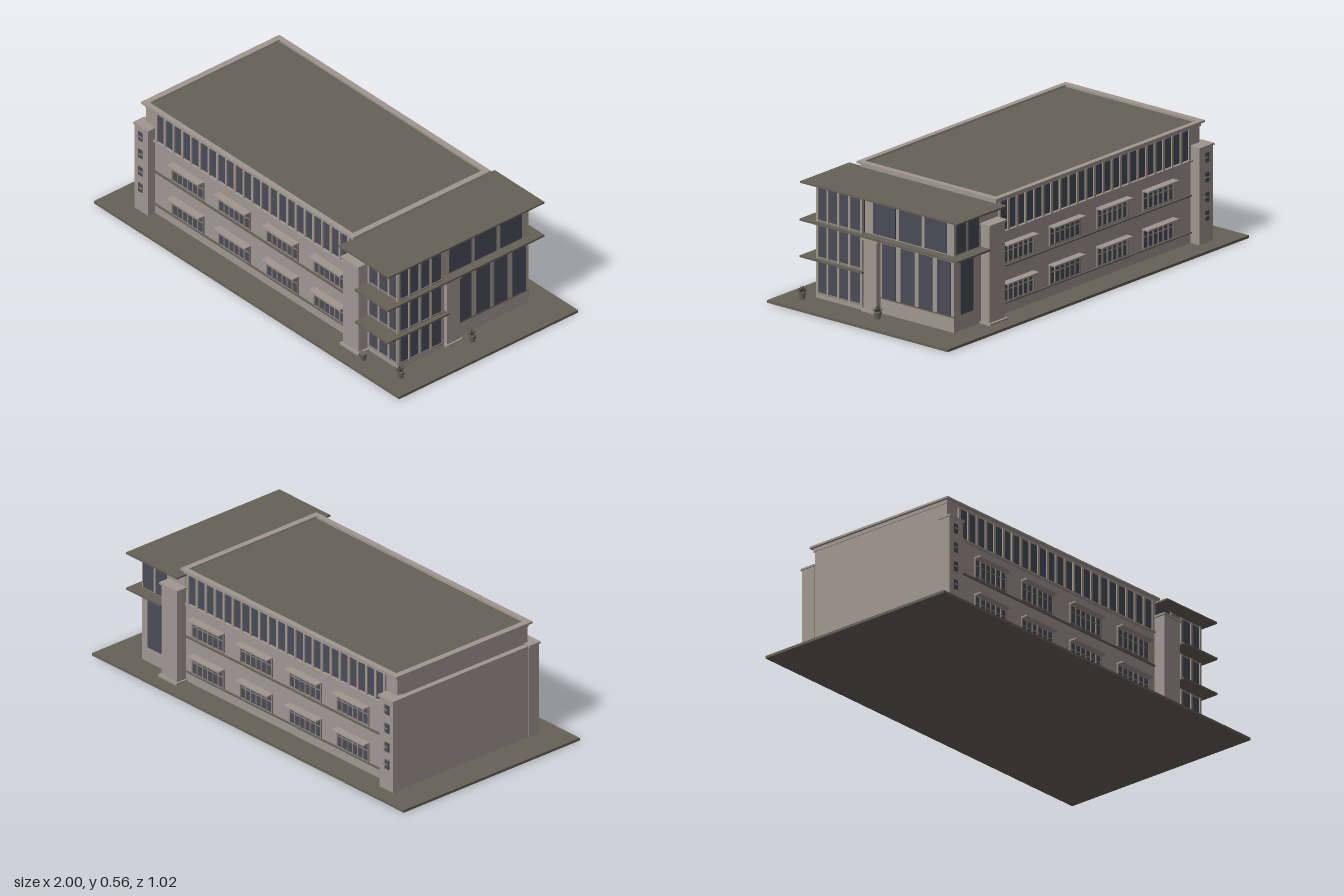
import * as THREE from 'three';

export function createModel() {
  const root = new THREE.Group();
  root.name = 'officeBuilding';
  const material = (name, color, double) => {
    const m = new THREE.MeshStandardMaterial({ color });
    m.name = name;
    if (double) m.side = THREE.DoubleSide;
    return m;
  };
  const wall = material('warm grey wall', 0xa0978f);
  const slab = material('dark stone', 0x656157);
  const glass = material('smoked glass', 0x4b4b58);
  const frame = material('window frame', 0x88817a);
  const leaf = material('leaf', 0x474a38, true);
  const pot = material('plant pot', 0x6a645c);

  // Box given by its limits on each axis
  function box(name, mat, x0, x1, y0, y1, z0, z1, parent = root) {
    const g = new THREE.BoxGeometry(Math.abs(x1 - x0), y1 - y0, Math.abs(z1 - z0));
    const m = new THREE.Mesh(g, mat);
    m.position.set((x0 + x1) / 2, (y0 + y1) / 2, (z0 + z1) / 2);
    m.name = name;
    parent.add(m);
    return m;
  }
  function group(name) {
    const g = new THREE.Group();
    g.name = name;
    root.add(g);
    return g;
  }

  // Ground and main block
  box('ground', slab, -1, 1, 0, 0.012, -0.51, 0.51);
  box('mainBlock', wall, -0.82, 0.54, 0.012, 0.536, -0.385, 0.37);
  box('endWall', wall, -0.845, -0.8, 0.012, 0.45, -0.42, 0.4);

  // Roof deck with raised parapet
  box('roofDeck', slab, -0.82, 0.54, 0.536, 0.545, -0.39, 0.37);
  const parapet = group('parapet');
  for (const [w, y0, y1, mat] of [[0.012, 0.53, 0.546, wall], [0, 0.546, 0.555, wall]]) {
    box('parapetFront', mat, -0.835 + w, 0.553 - w, y0, y1, 0.36, 0.385 - w, parapet);
    box('parapetBack', mat, -0.835 + w, 0.553 - w, y0, y1, -0.403 + w, -0.378, parapet);
    box('parapetLeft', mat, -0.835 + w, -0.806, y0, y1, -0.378, 0.36, parapet);
    box('parapetRight', mat, 0.525, 0.553 - w, y0, y1, -0.378, 0.36, parapet);
  }

  // Long facades, front and back
  for (const [side, z, d] of [['front', 0.37, 1], ['back', -0.385, -1]]) {
    const f = group(side + 'Facade');
    const plate = (name, mat, x0, x1, y0, y1, depth) =>
      box(name, mat, x0, x1, y0, y1, z, z + d * depth, f);
    plate('plinthCourse', slab, -0.76, 0.53, 0.058, 0.064, 0.008);
    plate('floorCourse', slab, -0.76, 0.53, 0.226, 0.233, 0.008);
    plate('clerestorySill', wall, -0.76, 0.53, 0.383, 0.392, 0.012);

    // Clerestory strip
    plate('clerestoryGlass', glass, -0.745, 0.515, 0.396, 0.53, 0.003);
    const n = 22, step = 1.26 / n;
    for (let i = 0; i <= n; i++) {
      const x = -0.745 + i * step;
      plate('clerestoryMullion', wall, x - 0.006, x + 0.006, 0.392, 0.532, 0.009);
    }

    // Two rows of four windows with canopies
    for (const cx of [-0.54, -0.235, 0.08, 0.39]) {
      for (const y of [0.065, 0.24]) {
        plate('windowGlass', glass, cx - 0.1, cx + 0.1, y, y + 0.088, 0.003);
        for (let i = 0; i <= 6; i++) {
          const x = cx - 0.1 + i * 0.2 / 6;
          plate('windowMullion', frame, x - 0.003, x + 0.003, y, y + 0.088, 0.007);
        }
        for (const h of [0.003, 0.055, 0.085])
          plate('windowRail', frame, cx - 0.1, cx + 0.1, y + h - 0.002, y + h + 0.002, 0.006);
        plate('windowCanopy', wall, cx - 0.103, cx + 0.103, y + 0.088, y + 0.095, 0.036);
      }
    }

    // Left pier with four slit windows
    const zl = d > 0 ? 0.41 : -0.435;
    box('leftPier', wall, -0.848, -0.76, 0.012, 0.446, z - d * 0.02, zl, f);
    box('leftPierCap', wall, -0.853, -0.755, 0.446, 0.455, z - d * 0.02, zl + d * 0.005, f);
    for (const y of [0.135, 0.22, 0.31, 0.4]) {
      box('pierWindow', glass, -0.824, -0.796, y - 0.022, y + 0.022, zl, zl + d * 0.003, f);
      box('pierWindowSill', frame, -0.815, -0.792, y - 0.003, y + 0.003, zl, zl + d * 0.006, f);
    }

    // Right pier with stepped base and cap
    const zr = d > 0 ? 0.425 : -0.437;
    box('rightPier', wall, 0.535, 0.636, 0.012, 0.458, z - d * 0.03, zr, f);
    box('rightPierCap', wall, 0.527, 0.644, 0.458, 0.467, z - d * 0.03, zr + d * 0.008, f);
    box('rightPierBase', wall, 0.527, 0.646, 0.012, 0.022, z - d * 0.03, zr + d * 0.012, f);
  }

  // Entrance wing
  const wing = group('entranceWing');
  box('wingBody', wall, 0.54, 0.815, 0.012, 0.522, -0.388, 0.12, wing);
  box('glazedCorner', glass, 0.54, 0.832, 0.03, 0.52, 0.114, 0.368, wing);
  box('glazedCornerBase', wall, 0.54, 0.836, 0.012, 0.032, 0.112, 0.372, wing);
  box('wingRoof', slab, 0.53, 0.857, 0.522, 0.53, -0.443, 0.445, wing);
  box('upperCanopy', slab, 0.637, 0.857, 0.35, 0.359, -0.443, 0.448, wing);
  box('lowerCanopy', slab, 0.637, 0.857, 0.184, 0.192, 0.096, 0.448, wing);
  box('entranceColumn', wall, 0.81, 0.842, 0.02, 0.335, 0.026, 0.1, wing);
  box('entranceColumnCap', wall, 0.805, 0.848, 0.335, 0.35, 0.02, 0.106, wing);
  box('entranceColumnBase', wall, 0.805, 0.85, 0.012, 0.022, 0.018, 0.108, wing);
  box('wingSill', slab, 0.81, 0.82, 0.08, 0.085, -0.388, 0.026, wing);

  // Frames on the glazed corner, storey by storey
  for (const [y0, y1] of [[0.03, 0.184], [0.192, 0.35], [0.359, 0.522]]) {
    for (const x of [0.641, 0.707, 0.773, 0.83])
      box('cornerMullion', wall, x - 0.005, x + 0.005, y0, y1, 0.36, 0.374, wing);
    for (const z of [0.118, 0.185, 0.247, 0.308, 0.366])
      box('cornerMullion', wall, 0.825, 0.838, y0, y1, z - 0.005, z + 0.005, wing);
    for (const y of [y0 + 0.004, y1 - 0.004]) {
      box('cornerRail', frame, 0.64, 0.836, y - 0.004, y + 0.004, 0.36, 0.371, wing);
      box('cornerRail', frame, 0.825, 0.836, y - 0.004, y + 0.004, 0.114, 0.37, wing);
    }
  }

  // Tall windows on the wing's side and back
  for (const z of [-0.022, -0.127, -0.228, -0.332])
    box('tallWindow', glass, 0.815, 0.819, 0.085, 0.33, z - 0.038, z + 0.038, wing);
  for (const z of [0.003, -0.142, -0.287])
    box('upperWindow', glass, 0.815, 0.819, 0.365, 0.516, z - 0.062, z + 0.062, wing);
  box('backTallWindow', glass, 0.69, 0.775, 0.085, 0.33, -0.388, -0.392, wing);
  box('backUpperWindow', glass, 0.655, 0.725, 0.365, 0.516, -0.388, -0.392, wing);
  box('backUpperWindow', glass, 0.74, 0.805, 0.365, 0.516, -0.388, -0.392, wing);

  // Potted plants
  const potGeo = new THREE.CylinderGeometry(0.018, 0.012, 0.032, 12);
  const leafGeo = new THREE.ConeGeometry(0.004, 0.032, 4);
  leafGeo.scale(1, 1, 0.4);
  leafGeo.translate(0, 0.016, 0);
  for (const [x, z, planted] of [[0.88, -0.012, 1], [0.89, 0.405, 1], [0.68, 0.437, 0]]) {
    const p = group('pottedPlant');
    p.position.set(x, 0.012, z);
    const body = new THREE.Mesh(potGeo, pot);
    body.name = 'pot';
    body.position.y = 0.016;
    p.add(body);
    for (let i = 0; planted && i < 18; i++) {
      const blade = new THREE.Mesh(leafGeo, leaf);
      blade.name = 'leaf';
      blade.position.y = 0.028;
      blade.rotation.set(0, i * 2.4, 0.25 + (i % 3) * 0.4, 'YXZ');
      p.add(blade);
    }
  }
  return root;
}
